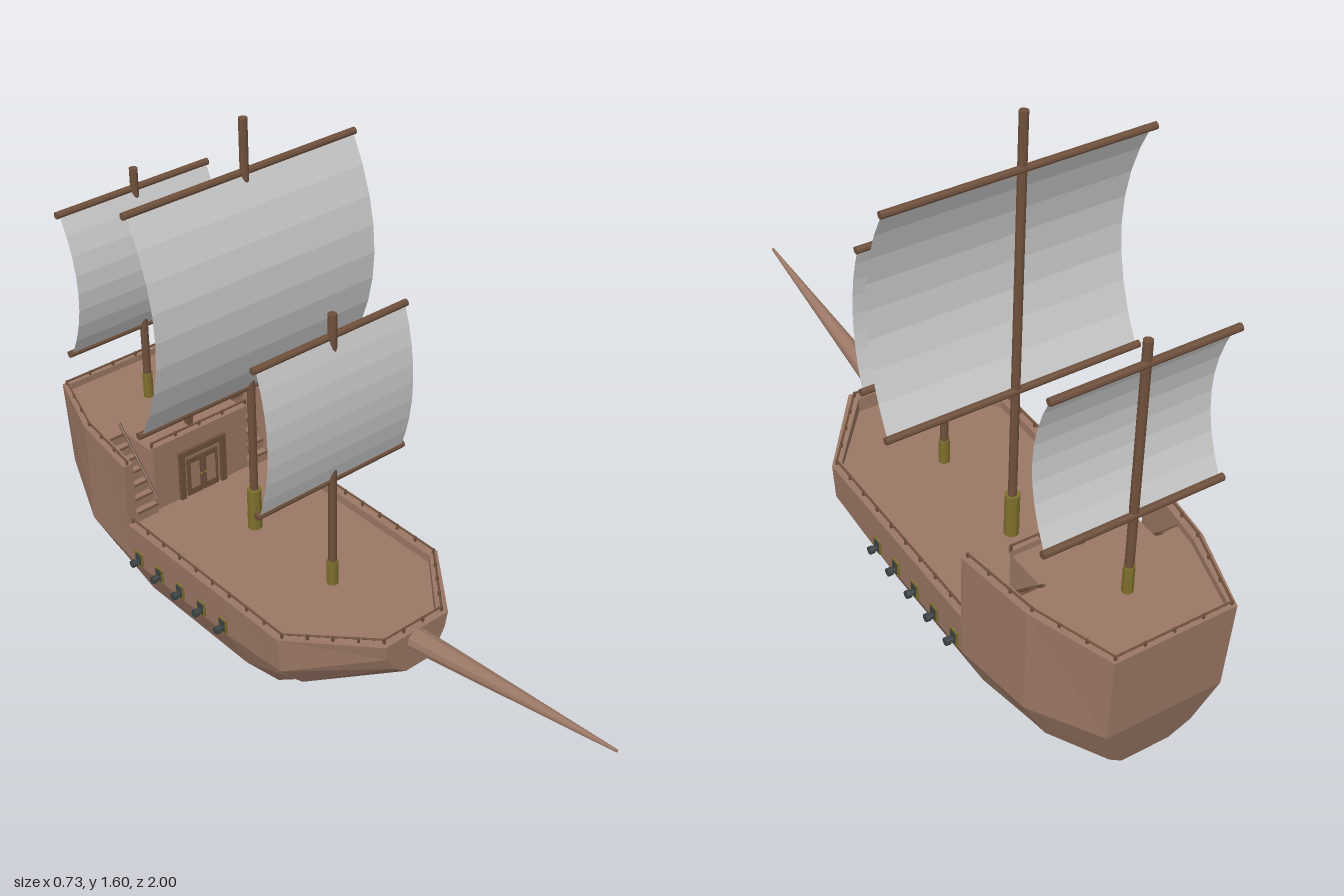
import * as THREE from 'three';

const paint = (color) => new THREE.MeshStandardMaterial({ color, side: THREE.DoubleSide, flatShading: true });
const WOOD = paint(0x9c7866), DARKWOOD = paint(0x6e503c), BRASS = paint(0x7d6f2c);
const IRON = paint(0x3c4242), CLOTH = paint(0xcccccc);
const MAIN_DECK = 0.365, AFT_DECK = 0.565, WALL = 0.03;

function add(parent, name, geometry, material, x = 0, y = 0, z = 0) {
  const mesh = new THREE.Mesh(geometry, material);
  mesh.name = name;
  mesh.position.set(x, y, z);
  parent.add(mesh);
  return mesh;
}

function box(parent, name, material, w, h, d, x, y, z) {
  return add(parent, name, new THREE.BoxGeometry(w, h, d), material, x, y, z);
}

// Round bar from point a to point b
function bar(parent, name, material, a, b, ra, rb = ra, sides = 10) {
  const from = new THREE.Vector3(...a), to = new THREE.Vector3(...b);
  const dir = to.clone().sub(from);
  const mesh = add(parent, name, new THREE.CylinderGeometry(rb, ra, dir.length(), sides), material);
  mesh.position.copy(from).add(to).multiplyScalar(0.5);
  mesh.quaternion.setFromUnitVectors(new THREE.Vector3(0, 1, 0), dir.normalize());
  return mesh;
}

// Hull stations: half profile from rail to keel as [x, y, z], deck height, inset of the inner wall in z
const station = (z, deck, pts, inset = 0) => ({ deck, inset, pts: pts.map(([x, y, pz = z]) => [x, y, pz]) });
const STATIONS = [
  station(0.33, MAIN_DECK, [[0.11, 0.41], [0.1, 0.365], [0.075, 0.32], [0.035, 0.29]], -WALL),
  station(0.11, MAIN_DECK, [[0.283, 0.39], [0.275, 0.28], [0.2, 0.2], [0.08, 0.145]]),
  station(-0.11, MAIN_DECK, [[0.283, 0.39], [0.275, 0.26], [0.215, 0.13], [0.105, 0]]),
  station(-0.54, MAIN_DECK, [[0.283, 0.39], [0.275, 0.26], [0.215, 0.13], [0.105, 0]]),
  station(-0.54, MAIN_DECK, [[0.283, 0.585], [0.275, 0.26], [0.215, 0.13], [0.105, 0]]),
  station(-0.72, MAIN_DECK, [[0.259, 0.585], [0.255, 0.267], [0.19, 0.14], [0.095, 0.031]]),
  station(-0.72, AFT_DECK, [[0.259, 0.585], [0.255, 0.267], [0.19, 0.14], [0.095, 0.031]]),
  station(-0.77, AFT_DECK, [[0.252, 0.585], [0.25, 0.27], [0.183, 0.14], [0.092, 0.04]]),
  station(-1, AFT_DECK, [[0.172, 0.585], [0.165, 0.32, -0.985], [0.12, 0.18, -0.945], [0.07, 0.13, -0.93]], WALL / 2),
];

// Closed loop: outer skin, rim, inner wall and deck
function ring({ deck, inset, pts }) {
  const [x, y, z] = pts[0];
  const inner = [[x - WALL, deck, z + inset], [x - WALL, y, z + inset]];
  if (inset) inner.forEach((p) => { p[0] = x - WALL / 2; });
  const half = [...inner, ...pts];
  const mirrored = half.map(([px, py, pz]) => [-px, py, pz]).reverse();
  return [...half, ...mirrored];
}

function hullGeometry() {
  const rings = STATIONS.map(ring), n = rings[0].length, out = [];
  const quad = (a, b, c, d) => out.push(...a, ...b, ...c, ...a, ...c, ...d);
  for (let i = 0; i < rings.length - 1; i++) {
    for (let j = 0; j < n; j++) {
      const k = (j + 1) % n;
      quad(rings[i][j], rings[i][k], rings[i + 1][k], rings[i + 1][j]);
    }
  }
  // Bow and stern caps, made of mirrored pairs
  for (const [r, front] of [[rings[0], true], [rings[rings.length - 1], false]]) {
    for (let j = 0; j < n / 2 - 1; j++) {
      const a = r[j], b = r[j + 1], c = r[n - 2 - j], d = r[n - 1 - j];
      if (front) quad(a, d, c, b);
      else quad(a, b, c, d);
    }
  }
  const g = new THREE.BufferGeometry();
  g.setAttribute('position', new THREE.Float32BufferAttribute(out, 3));
  g.computeVertexNormals();
  return g;
}

// Thin handrail with short posts standing on the rim
function railing(parent, name, points, lift = 0.013) {
  const group = new THREE.Group();
  group.name = name;
  parent.add(group);
  for (let i = 0; i < points.length - 1; i++) {
    const a = new THREE.Vector3(...points[i]), b = new THREE.Vector3(...points[i + 1]);
    const up = new THREE.Vector3(0, lift, 0);
    bar(group, 'handrail', DARKWOOD, a.clone().add(up).toArray(), b.clone().add(up).toArray(), 0.003, 0.003, 6);
    const count = Math.max(1, Math.round(a.distanceTo(b) / 0.075));
    for (let k = 0; k <= count; k++) {
      const p = a.clone().lerp(b, k / count);
      box(group, 'railPost', DARKWOOD, 0.006, lift + 0.005, 0.006, p.x, p.y + lift / 2, p.z);
    }
  }
}

// Mast with brass collar, two yards and a billowing sail
function rig(parent, name, { z, deck, top, collar, collarR, high, low, half, bulge }) {
  const group = new THREE.Group();
  group.name = name;
  group.position.z = z;
  parent.add(group);
  bar(group, 'mast', DARKWOOD, [0, deck, 0], [0, top, 0], 0.012);
  bar(group, 'mastCollar', BRASS, [0, deck, 0], [0, collar, 0], collarR);
  for (const y of [high, low]) bar(group, 'yard', DARKWOOD, [-half, y, -0.004], [half, y, -0.004], 0.01);
  const sail = new THREE.PlaneGeometry(half * 2 - 0.016, high - low, 1, 8);
  const p = sail.attributes.position;
  for (let i = 0; i < p.count; i++) {
    const t = p.getY(i) / (high - low) * 2;
    p.setZ(i, bulge * (1 - t * t));
  }
  sail.computeVertexNormals();
  add(group, 'sail', sail, CLOTH, 0, (high + low) / 2, 0);
}

export function createModel() {
  const ship = new THREE.Group();
  ship.name = 'sailingShip';
  add(ship, 'hull', hullGeometry(), WOOD);
  bar(ship, 'bowsprit', WOOD, [0, 0.375, 0.305], [0, 0.476, 1], 0.035, 0.004, 12);

  // Cabin under the quarterdeck, with door
  box(ship, 'cabin', WOOD, 0.33, AFT_DECK - MAIN_DECK, 0.16, 0, (AFT_DECK + MAIN_DECK) / 2, -0.65);
  box(ship, 'cabinTopBeam', WOOD, 0.33, 0.02, 0.018, 0, 0.573, -0.571);
  for (const s of [-1, 1]) {
    box(ship, 'doorJamb', DARKWOOD, 0.018, 0.155, 0.014, s * 0.073, 0.4425, -0.567);
    box(ship, 'doorLeaf', DARKWOOD, 0.052, 0.125, 0.008, s * 0.028, 0.4275, -0.568);
    box(ship, 'doorPanel', WOOD, 0.03, 0.085, 0.008, s * 0.028, 0.43, -0.566);
    add(ship, 'doorKnob', new THREE.SphereGeometry(0.004, 8, 6), BRASS, s * 0.008, 0.425, -0.562);
  }
  box(ship, 'doorLintel', DARKWOOD, 0.164, 0.018, 0.014, 0, 0.515, -0.567);

  // Stairs on both sides of the cabin
  const steps = 7, rise = (AFT_DECK - MAIN_DECK) / steps, run = 0.16 / steps;
  for (const s of [-1, 1]) {
    const stairs = new THREE.Group();
    stairs.name = 'stairs';
    ship.add(stairs);
    for (let i = 0; i < steps; i++) {
      const h = rise * (i + 1);
      box(stairs, 'step', WOOD, 0.07, h, run, s * 0.2, MAIN_DECK + h / 2, -0.56 - run * (i + 0.5));
      box(stairs, 'tread', DARKWOOD, 0.07, 0.004, 0.005, s * 0.2, MAIN_DECK + h, -0.56 - run * i);
    }
    bar(stairs, 'banister', DARKWOOD, [s * 0.17, MAIN_DECK + 0.05, -0.55], [s * 0.17, AFT_DECK + 0.025, -0.72], 0.004, 0.004, 6);
  }

  // Railings following the rim
  const e = WALL / 2;
  railing(ship, 'mainRailing', [[0.268, 0.39, -0.54], [0.268, 0.39, 0.11], [0.1, 0.41, 0.315],
    [-0.1, 0.41, 0.315], [-0.268, 0.39, 0.11], [-0.268, 0.39, -0.54]]);
  railing(ship, 'aftRailing', [[0.268, 0.585, -0.545], [0.252 - e, 0.585, -0.77], [0.163, 0.585, -0.99],
    [-0.163, 0.585, -0.99], [-0.252 + e, 0.585, -0.77], [-0.268, 0.585, -0.545]], 0.01);
  railing(ship, 'cabinRailing', [[-0.165, 0.58, -0.573], [0.165, 0.58, -0.573]], 0.014);

  // Steering wheel and stand
  const helm = new THREE.Group();
  helm.name = 'helm';
  ship.add(helm);
  box(helm, 'wheelStand', DARKWOOD, 0.018, 0.065, 0.018, 0, AFT_DECK + 0.0325, -0.622);
  bar(helm, 'wheelAxle', BRASS, [0, 0.62, -0.615], [0, 0.62, -0.648], 0.006);
  add(helm, 'wheelRim', new THREE.TorusGeometry(0.029, 0.003, 6, 20), DARKWOOD, 0, 0.62, -0.641);
  for (let i = 0; i < 4; i++) {
    const c = Math.cos(i * Math.PI / 4) * 0.04, s = Math.sin(i * Math.PI / 4) * 0.04;
    bar(helm, 'wheelSpoke', DARKWOOD, [-c, 0.62 - s, -0.641], [c, 0.62 + s, -0.641], 0.002, 0.002, 6);
  }

  // Gun ports with short cannons
  for (const s of [-1, 1]) {
    for (let i = 0; i < 5; i++) {
      const z = -0.125 - i * 0.0945;
      box(ship, 'gunPort', BRASS, 0.014, 0.044, 0.032, s * 0.276, 0.291, z);
      box(ship, 'portOpening', IRON, 0.014, 0.036, 0.024, s * 0.277, 0.291, z);
      bar(ship, 'cannon', IRON, [s * 0.26, 0.283, z], [s * 0.306, 0.283, z], 0.008);
      bar(ship, 'cannonMuzzle', IRON, [s * 0.293, 0.283, z], [s * 0.306, 0.283, z], 0.011);
    }
  }

  rig(ship, 'foreRig', { z: 0, deck: MAIN_DECK, top: 1.2, collar: 0.44, collarR: 0.016, high: 1.135, low: 0.703, half: 0.25, bulge: 0.038 });
  rig(ship, 'mainRig', { z: -0.33, deck: MAIN_DECK, top: 1.6, collar: 0.495, collarR: 0.021, high: 1.455, low: 0.83, half: 0.365, bulge: 0.088 });
  rig(ship, 'mizzenRig', { z: -0.813, deck: AFT_DECK, top: 1.29, collar: 0.645, collarR: 0.015, high: 1.23, low: 0.803, half: 0.25, bulge: 0.058 });
  return ship;
}
